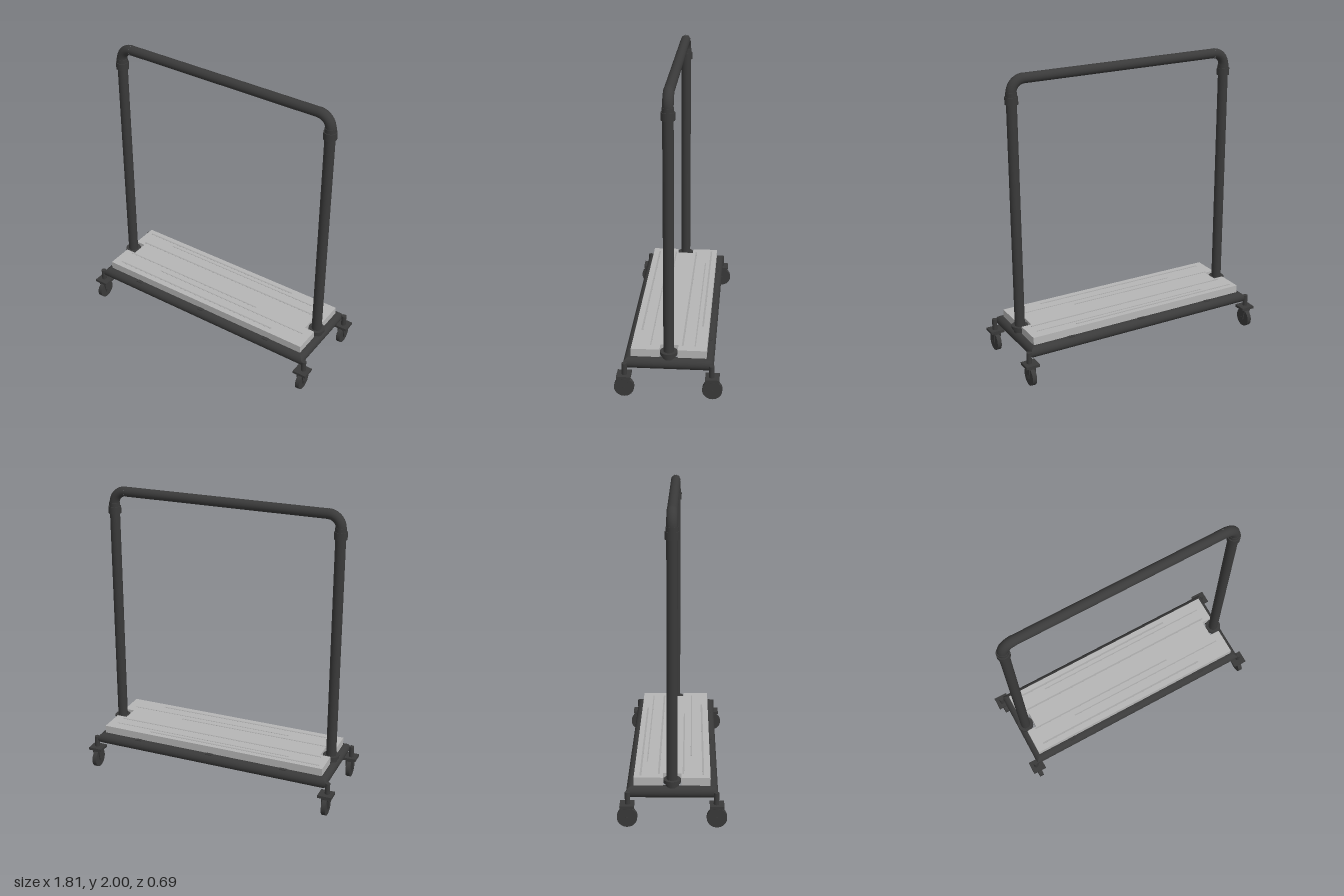
import * as THREE from 'three';

export function createModel() {
  const model = new THREE.Group();
  const metal = new THREE.MeshStandardMaterial({ color: 0x3a3a3a, name: 'dark metal' });
  const wood = new THREE.MeshStandardMaterial({ color: 0xb6b6b6, name: 'grey wood' });
  const grain = new THREE.MeshStandardMaterial({ color: 0xa6a6a6, name: 'wood grain' });

  const add = (parent, name, geo, mat, x = 0, y = 0, z = 0) => {
    const mesh = new THREE.Mesh(geo, mat);
    mesh.name = name;
    mesh.position.set(x, y, z);
    parent.add(mesh);
    return mesh;
  };
  const rod = (r, h, seg = 24) => new THREE.CylinderGeometry(r, r, h, seg);
  const box = (w, h, d) => new THREE.BoxGeometry(w, h, d);

  // Pipe along x with 45 degree mitred ends; +z is the outer side
  const mitredPipe = (halfLength, r) => {
    const geo = new THREE.CylinderGeometry(r, r, 2, 24, 1, true).rotateZ(Math.PI / 2);
    const p = geo.attributes.position;
    for (let i = 0; i < p.count; i++) {
      p.setX(i, Math.sign(p.getX(i)) * (halfLength + p.getZ(i)));
    }
    return geo;
  };

  // Base frame: four mitred pipes
  const FX = 0.811, FZ = 0.25, FY = 0.217, FR = 0.038;
  for (const s of [1, -1]) {
    const long = add(model, 'longRail', mitredPipe(FX, FR), metal, 0, FY, s * FZ);
    long.rotation.y = s > 0 ? 0 : Math.PI;
    const short = add(model, 'endRail', mitredPipe(FZ, FR), metal, s * FX, FY, 0);
    short.rotation.y = s * Math.PI / 2;
  }

  // Cross bars under the shelf
  for (const x of [-0.54, 0, 0.54]) {
    add(model, 'crossBar', box(0.045, 0.035, 0.53), metal, x, 0.239, 0);
  }

  // Wooden shelf, notched at both ends around the posts
  const W = 0.808, D = 0.241, NX = 0.737, NZ = 0.058;
  const outline = new THREE.Shape([
    [-W, -D], [W, -D], [W, -NZ], [NX, -NZ], [NX, NZ], [W, NZ],
    [W, D], [-W, D], [-W, NZ], [-NX, NZ], [-NX, -NZ], [-W, -NZ],
  ].map(([x, y]) => new THREE.Vector2(x, y)));
  const shelf = new THREE.ExtrudeGeometry(outline, { depth: 0.055, bevelEnabled: false });
  shelf.rotateX(-Math.PI / 2);
  add(model, 'shelf', shelf, wood, 0, 0.252, 0);

  // Thin grain streaks on the shelf top: [x, z, length, width]
  for (const [x, z, l, w] of [
    [-0.15, -0.2, 1.25, 0.012], [0.1, -0.165, 1.3, 0.008], [0, -0.085, 1.5, 0.012],
    [-0.2, 0.07, 1.1, 0.01], [0.15, 0.12, 1.2, 0.008], [-0.1, 0.195, 1.3, 0.012],
  ]) {
    add(model, 'grainStreak', box(l, 0.001, w), grain, x, 0.3073, z);
  }

  // Hanging rail
  const PX = 0.795, BEND = 0.085, TOP = 1.966;
  const bar = add(model, 'hangingBar', rod(0.033, 2 * (PX - BEND)), metal, 0, TOP, 0);
  bar.rotation.z = Math.PI / 2;

  // Upright posts with flange, collar and elbow
  for (const s of [1, -1]) {
    const post = new THREE.Group();
    post.name = 'post';
    post.rotation.y = s > 0 ? 0 : Math.PI;
    model.add(post);
    add(post, 'upright', rod(0.034, 1.63), metal, PX, 1.055, 0);
    add(post, 'flangeNeck', rod(0.042, 0.03), metal, PX, 0.262, 0);
    add(post, 'flange', rod(0.055, 0.022), metal, PX, 0.284, 0);
    add(post, 'collar', rod(0.043, 0.048), metal, PX, 1.835, 0);
    add(post, 'elbowNeck', rod(0.037, 0.03), metal, PX, 1.871, 0);
    add(post, 'elbow', new THREE.TorusGeometry(BEND, 0.034, 20, 16, Math.PI / 2),
      metal, PX - BEND, TOP - BEND, 0);
  }

  // Swivel casters on the four corners
  for (const sx of [1, -1]) for (const sz of [1, -1]) {
    const caster = new THREE.Group();
    caster.name = 'caster';
    caster.position.set(sx * 0.855, 0, sz * 0.281);
    model.add(caster);
    add(caster, 'stem', rod(0.017, 0.085, 16), metal, sx * 0.006, 0.19, -sz * 0.004);
    add(caster, 'mountingPlate', box(0.096, 0.018, 0.09), metal, 0, 0.146, 0);
    add(caster, 'swivelRing', rod(0.035, 0.012), metal, 0, 0.132, 0);
    add(caster, 'forkCrown', box(0.05, 0.01, 0.066), metal, 0, 0.128, 0);
    // Tapered fork arms
    const arm = new THREE.Shape([
      [-0.033, 0.13], [-0.016, 0.052], [0.016, 0.052], [0.033, 0.13],
    ].map(([x, y]) => new THREE.Vector2(x, y)));
    for (const side of [1, -1]) {
      const geo = new THREE.ExtrudeGeometry(arm, { depth: 0.007, bevelEnabled: false });
      geo.translate(0, 0, -0.0035).rotateY(Math.PI / 2);
      add(caster, 'forkArm', geo, metal, side * 0.0215, 0, 0);
    }
    const wheel = add(caster, 'wheel', rod(0.064, 0.03, 32), metal, 0, 0.064, 0);
    wheel.rotation.z = Math.PI / 2;
    const axle = add(caster, 'axle', rod(0.008, 0.056, 12), metal, 0, 0.064, 0);
    axle.rotation.z = Math.PI / 2;
  }
  return model;
}
